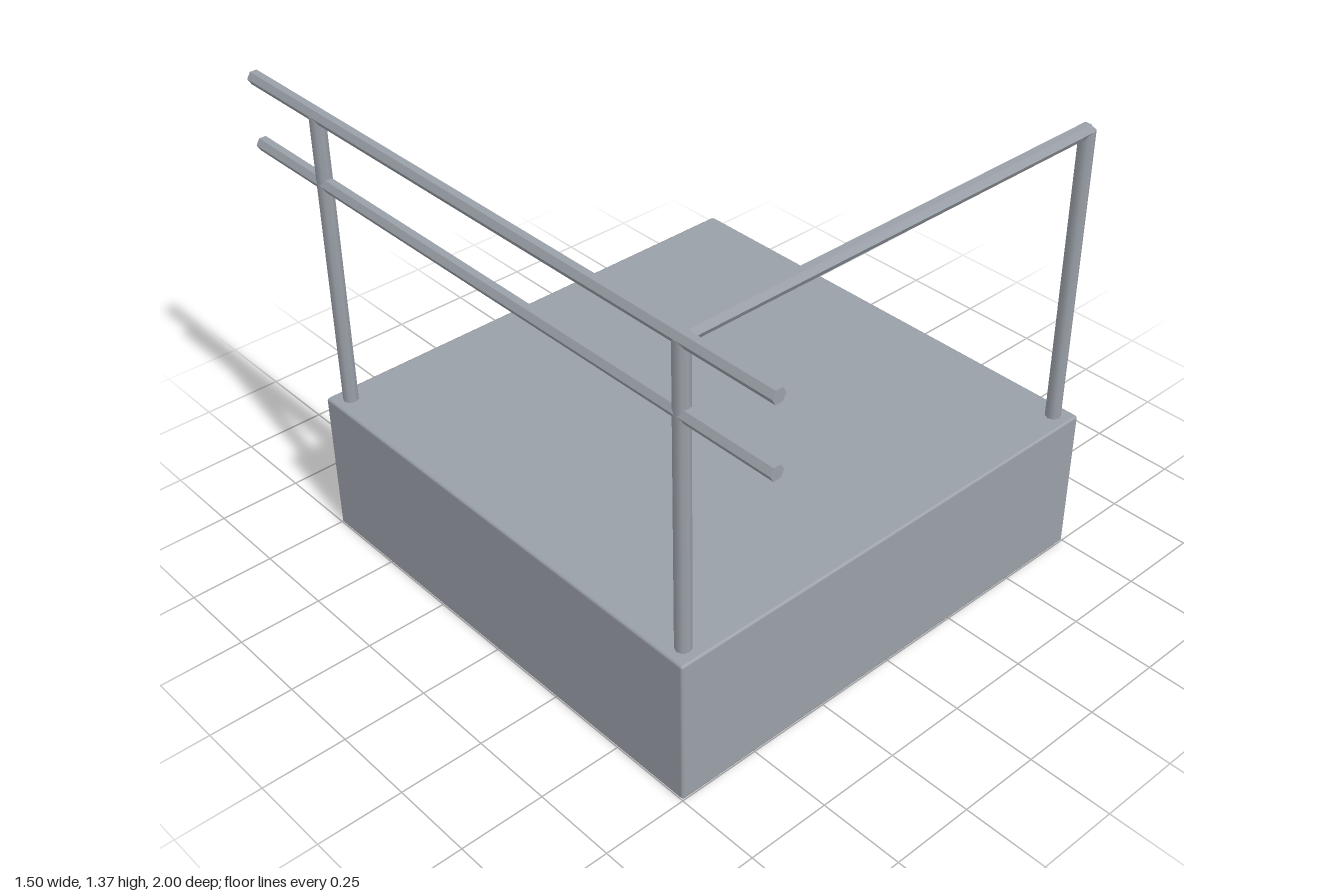
import * as THREE from 'three';
import { RoundedBoxGeometry } from 'three/addons/geometries/RoundedBoxGeometry.js';

export function createModel() {
  const group = new THREE.Group();
  const steel = new THREE.MeshStandardMaterial({ color: 0x9aa0a8 });
  steel.name = 'steelGrey';

  const add = (name, geometry, x, y, z) => {
    const mesh = new THREE.Mesh(geometry, steel);
    mesh.name = name;
    mesh.position.set(x, y, z);
    group.add(mesh);
  };

  // Square platform block with slightly eased edges
  const height = 0.45;
  add('platform', new RoundedBoxGeometry(1.5, height, 1.5, 1, 0.008), 0, height / 2, 0);

  // Three upright posts near the corners
  const corner = 0.7, railY = 1.35;
  const postHeight = railY - height;
  const posts = [['frontRightPost', -1, 1], ['frontLeftPost', 1, 1], ['backRightPost', -1, -1]];
  for (const [name, sx, sz] of posts) {
    add(name, new THREE.CylinderGeometry(0.0225, 0.0225, postHeight, 8),
      sx * corner, height + postHeight / 2, sz * corner);
  }

  // Six-sided rails with flat faces on top and bottom
  const rail = (length) => new THREE.CylinderGeometry(0.021, 0.021, length, 6).toNonIndexed();
  const flat = (geometry) => { geometry.computeVertexNormals(); return geometry; };

  // Front rail between the front posts
  add('frontRail', flat(rail(2 * corner).rotateZ(Math.PI / 2)), 0, railY, corner);

  // Two long side rails overhanging both ends
  for (const [name, y] of [['upperSideRail', railY], ['lowerSideRail', 1.15]]) {
    add(name, flat(rail(2).rotateY(Math.PI / 2).rotateX(Math.PI / 2)), -corner, y, 0);
  }
  return group;
}
